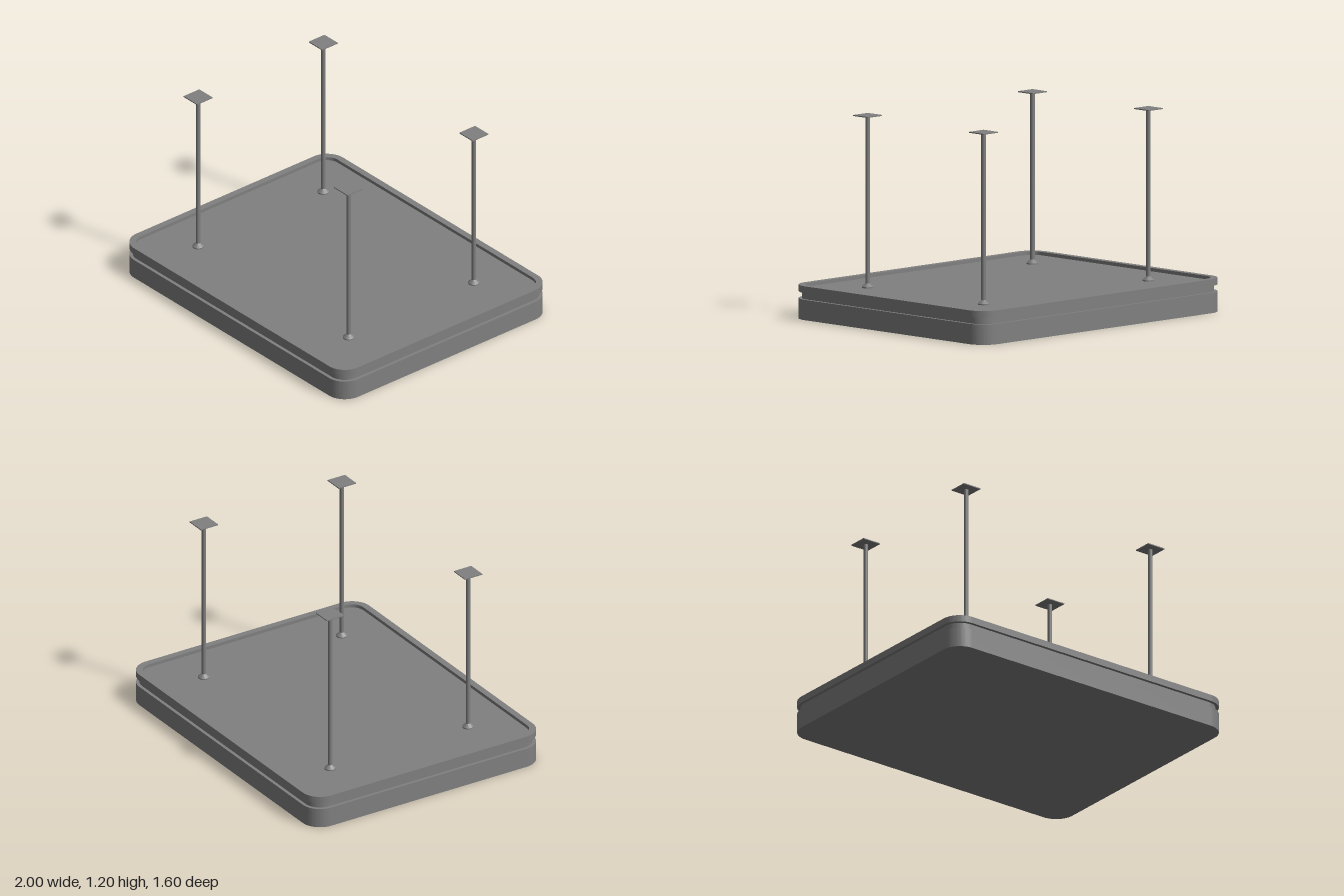
import * as THREE from 'three';
import { toCreasedNormals } from 'three/addons/utils/BufferGeometryUtils.js';

// Rounded rectangle outline, inset from the 2.0 x 1.6 footprint
function outline(inset, PathType = THREE.Shape) {
  const w = 1 - inset, d = 0.8 - inset, r = 0.12 - inset;
  const p = new PathType();
  p.moveTo(w, -d + r);
  p.absarc(w - r, d - r, r, 0, Math.PI / 2);
  p.absarc(-w + r, d - r, r, Math.PI / 2, Math.PI);
  p.absarc(-w + r, -d + r, r, Math.PI, Math.PI * 1.5);
  p.absarc(w - r, -d + r, r, Math.PI * 1.5, Math.PI * 2);
  p.closePath();
  return p;
}

// Horizontal slab of an outline between two heights
function slab(shape, y0, y1) {
  const g = new THREE.ExtrudeGeometry(shape, { depth: y1 - y0, bevelEnabled: false, curveSegments: 12 });
  g.rotateX(-Math.PI / 2).translate(0, y0, 0);
  return toCreasedNormals(g, 0.6);
}

export function createModel() {
  const model = new THREE.Group();
  model.name = 'suspendedPanel';
  const grey = new THREE.MeshStandardMaterial({ color: 0x808080 });
  grey.name = 'grey';

  const add = (parent, name, geometry) => {
    const mesh = new THREE.Mesh(geometry, grey);
    mesh.name = name;
    parent.add(mesh);
    return mesh;
  };

  // Panel body, recessed groove core and raised rim around the top
  add(model, 'lowerBody', slab(outline(0), 0, 0.12));
  add(model, 'grooveCore', slab(outline(0.02), 0.12, 0.16));
  const rim = outline(0);
  rim.holes.push(outline(0.04, THREE.Path));
  add(model, 'topRim', slab(rim, 0.16, 0.2));
  add(model, 'recessedTop', slab(outline(0.04), 0.16, 0.18));

  // Four hanging rods with tapered feet and ceiling plates
  const rodGeometry = new THREE.CylinderGeometry(0.0135, 0.0135, 1.015, 20).translate(0, 0.6875, 0);
  const footGeometry = toCreasedNormals(new THREE.LatheGeometry([
    [0.034, 0.18], [0.034, 0.187], [0.024, 0.196], [0.0135, 0.207],
  ].map(([r, y]) => new THREE.Vector2(r, y)), 20), 0.6);
  const plateGeometry = new THREE.BoxGeometry(0.12, 0.006, 0.12).translate(0, 1.197, 0);

  for (const x of [-0.68, 0.68]) {
    for (const z of [-0.48, 0.48]) {
      const hanger = new THREE.Group();
      hanger.name = `${z > 0 ? 'front' : 'back'}${x > 0 ? 'Left' : 'Right'}Hanger`;
      hanger.position.set(x, 0, z);
      add(hanger, 'rod', rodGeometry);
      add(hanger, 'rodFoot', footGeometry);
      add(hanger, 'ceilingPlate', plateGeometry);
      model.add(hanger);
    }
  }
  return model;
}
